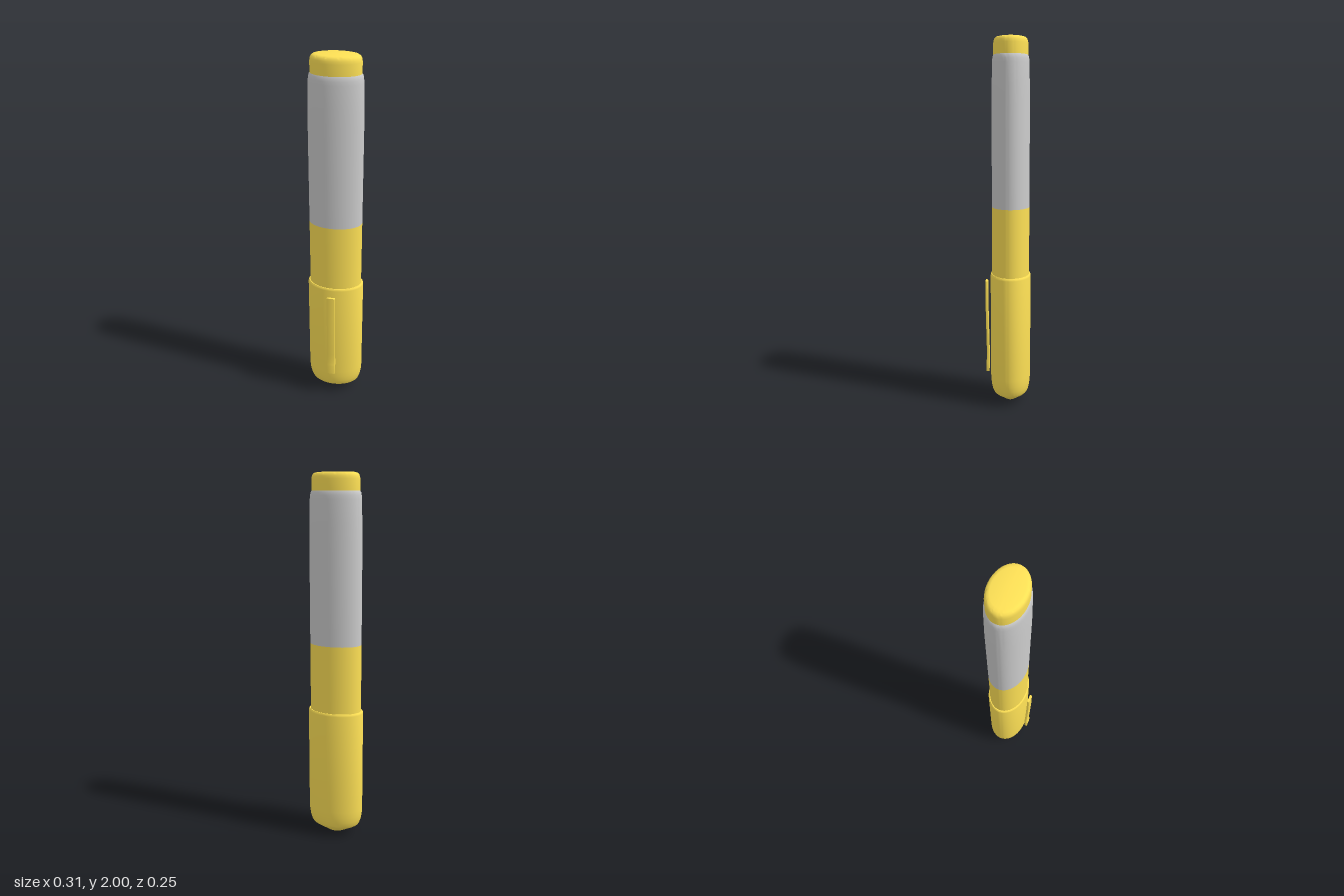
import * as THREE from 'three';
import { toCreasedNormals } from 'three/addons/utils/BufferGeometryUtils.js';

const DEPTH = 0.705;      // oval section: depth relative to width
const AXIS_Z = -0.015;    // the barrel sits slightly behind the clip

export function createModel() {
  const group = new THREE.Group();
  const yellow = new THREE.MeshStandardMaterial({ color: 0xfde055 });
  const grey = new THREE.MeshStandardMaterial({ color: 0xcccccc });

  const add = (name, geometry, material) => {
    const mesh = new THREE.Mesh(toCreasedNormals(geometry, 0.6), material);
    mesh.name = name;
    group.add(mesh);
  };

  // Oval turned part from a [radius, height] profile, listed bottom to top
  const turned = (name, profile, material) => {
    const points = profile.map(([r, y]) => new THREE.Vector2(r, y));
    const geometry = new THREE.LatheGeometry(points, 72);
    geometry.scale(1, 1, DEPTH).translate(0, 0, AXIS_Z);
    add(name, geometry, material);
  };

  // Cap with a blunt conical tip and a rounded rim
  turned('cap', [
    [0, 0.008], [0.013, 0.008], [0.016, 0.003], [0.03, 0.003], [0.045, 0.008],
    [0.125, 0.052], [0.135, 0.059], [0.142, 0.07], [0.15, 0.095], [0.155, 0.125],
    [0.157, 0.16], [0.157, 0.722], [0.155, 0.731], [0.151, 0.735],
    [0.146, 0.735], [0.144, 0.72],
  ], yellow);

  turned('lowerBarrel', [[0.145, 0.6], [0.145, 1.105]], yellow);

  // Upper barrel, narrowing slightly to a rounded shoulder
  turned('upperBarrel', [
    [0.145, 1.105], [0.145, 1.65], [0.143, 1.75], [0.141, 1.865],
    [0.139, 1.885], [0.136, 1.9], [0.131, 1.908], [0.12, 1.909],
  ], grey);

  // End plug with a soft top edge
  turned('endPlug', [
    [0.131, 1.9], [0.131, 1.965], [0.129, 1.979], [0.124, 1.99],
    [0.115, 1.997], [0.1, 2], [0, 2],
  ], yellow);

  // Clip: gently bent side profile (z, y) extruded across its width
  const side = new THREE.Shape();
  side.moveTo(0.107, 0.167);
  side.lineTo(0.118, 0.167);
  side.lineTo(0.119, 0.22);
  side.quadraticCurveTo(0.113, 0.26, 0.117, 0.32);
  side.lineTo(0.122, 0.55);
  side.lineTo(0.122, 0.688);
  side.lineTo(0.113, 0.688);
  side.lineTo(0.112, 0.55);
  side.lineTo(0.107, 0.32);
  side.quadraticCurveTo(0.103, 0.25, 0.107, 0.167);
  const clip = new THREE.ExtrudeGeometry(side, {
    depth: 0.042, bevelEnabled: true, bevelSize: 0.002, bevelThickness: 0.002,
    bevelSegments: 2, curveSegments: 8,
  });
  clip.translate(0, 0, -0.021).rotateY(-Math.PI / 2);
  add('clip', clip, yellow);

  return group;
}
